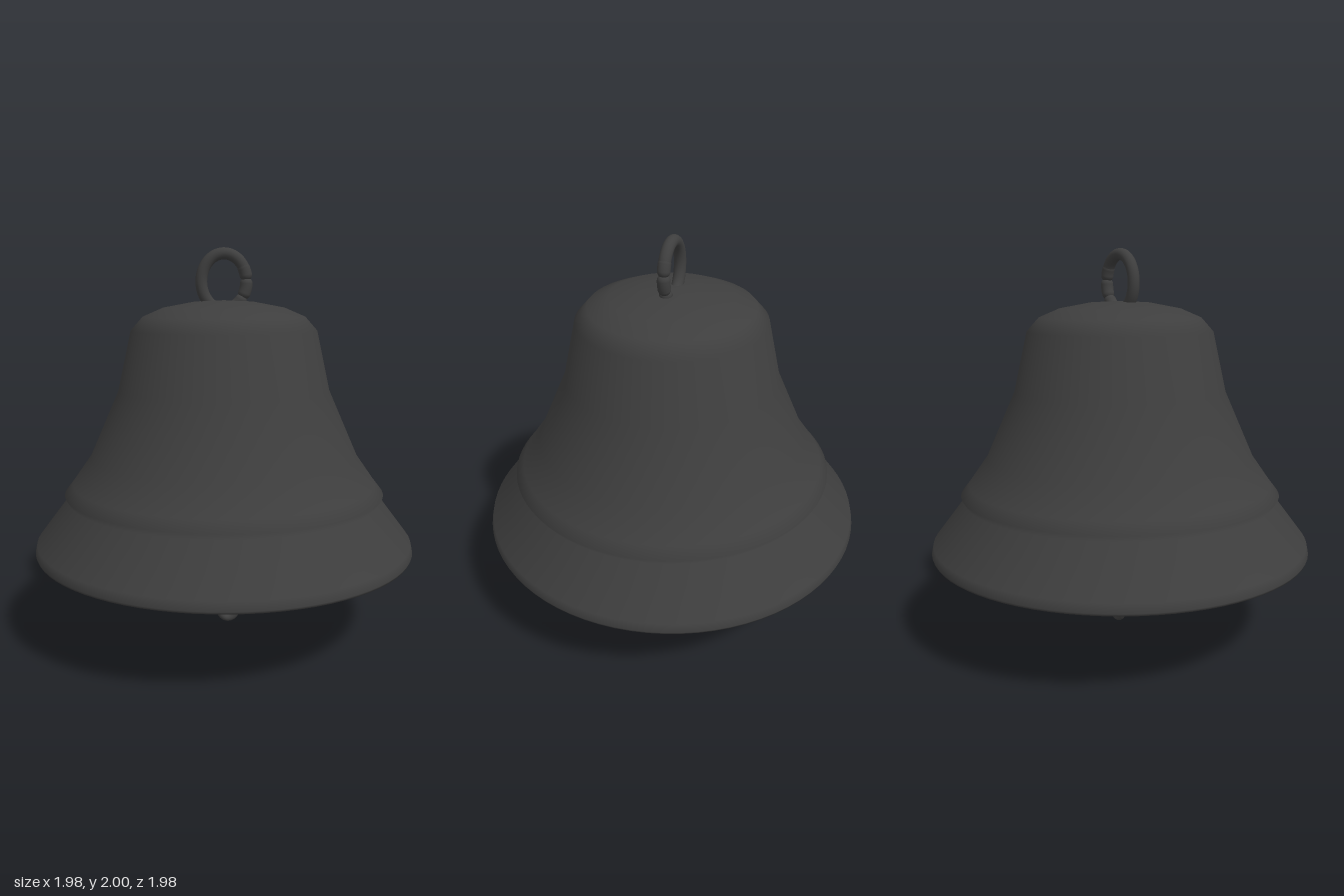
import * as THREE from 'three';

const iron = new THREE.MeshStandardMaterial({ color: 0x3e3e3e });
iron.name = 'darkIron';

const v2 = (pairs) => pairs.map(([x, y]) => new THREE.Vector2(x, y));

function addMesh(parent, name, geometry) {
  const mesh = new THREE.Mesh(geometry, iron);
  mesh.name = name;
  parent.add(mesh);
  return mesh;
}

// Bent rod in the z = 0 plane with rounded ends
function addRod(parent, name, pairs, radius) {
  const points = pairs.map(([x, y]) => new THREE.Vector3(x, y, 0));
  const curve = new THREE.CatmullRomCurve3(points);
  addMesh(parent, name, new THREE.TubeGeometry(curve, 40, radius, 16));
  for (const end of [points[0], points[points.length - 1]]) {
    addMesh(parent, name + 'End', new THREE.SphereGeometry(radius, 16, 10)).position.copy(end);
  }
}

// Points on an ellipse between two angles in degrees
function arc(cx, cy, rx, ry, from, to, steps = 10) {
  return Array.from({ length: steps + 1 }, (_, i) => {
    const a = THREE.MathUtils.degToRad(from + ((to - from) * i) / steps);
    return [cx + rx * Math.cos(a), cy + ry * Math.sin(a)];
  });
}

export function createModel() {
  const model = new THREE.Group();
  model.name = 'bell';

  // Hollow shell: down the inside, around the lip, up the outside
  const profile = v2([
    [0, 1.67], [0.15, 1.665], [0.278, 1.64], [0.36, 1.605], [0.413, 1.545], [0.476, 1.26],
    [0.628, 0.908], [0.752, 0.708], [0.885, 0.51], [0.91, 0.452],
    [0.985, 0.45], [0.99, 0.462], [0.98, 0.505], [0.815, 0.722], [0.832, 0.752],
    [0.79, 0.805], [0.695, 0.94], [0.545, 1.28], [0.477, 1.585], [0.415, 1.655],
    [0.31, 1.7], [0.15, 1.73], [0, 1.737],
  ]);
  addMesh(model, 'bellShell', new THREE.LatheGeometry(profile, 80));

  // Hanging loop: a long bent rod closed by short lapped pieces on one side
  const loop = new THREE.Group();
  loop.name = 'hangingLoop';
  model.add(loop);
  addRod(loop, 'loopMain', arc(0, 1.83, 0.115, 0.14, 22, 245, 16), 0.03);
  for (const [from, to] of [[28, 14], [-4, -24], [-42, -65]]) {
    addRod(loop, 'loopLap', arc(0, 1.83, 0.114, 0.14, from, to, 4), 0.032);
  }

  // Clapper: stem, flattened ball and small hook
  const clapper = new THREE.Group();
  clapper.name = 'clapper';
  model.add(clapper);
  addRod(clapper, 'stem', [[0, 1.69], [0, 1.1], [0, 0.5], [0, 0.37], [0.008, 0.3], [0.02, 0.2]], 0.047);
  const ball = addMesh(clapper, 'ball', new THREE.SphereGeometry(1, 40, 24));
  ball.scale.set(0.179, 0.096, 0.155);
  ball.position.set(0.023, 0.188, 0);
  addRod(clapper, 'hookMain', arc(0.022, 0.075, 0.047, 0.056, 150, 335, 10), 0.019);
  for (const [from, to] of [[340, 350], [375, 410]]) {
    addRod(clapper, 'hookLap', arc(0.022, 0.075, 0.048, 0.056, from, to, 4), 0.02);
  }

  return model;
}
